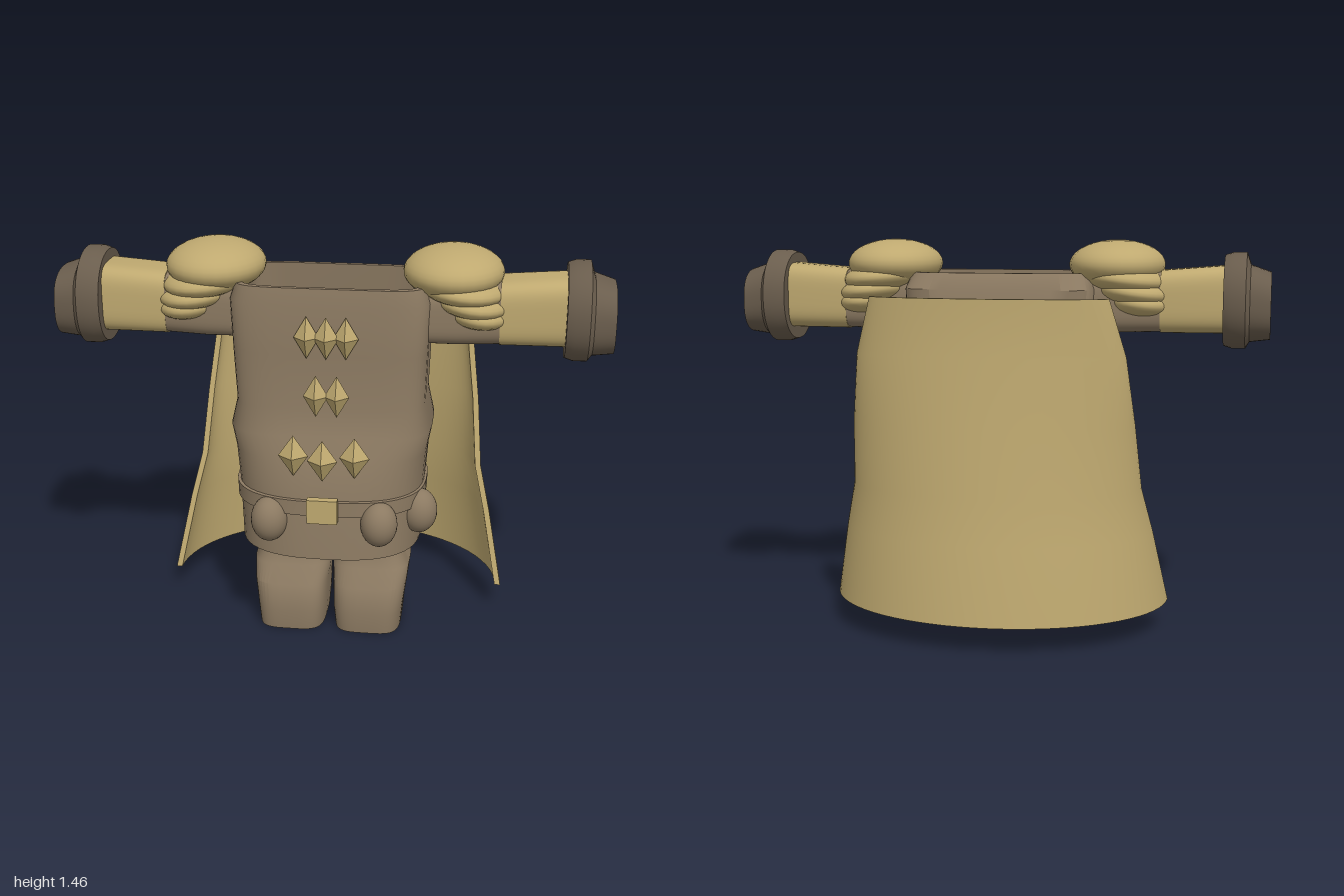
import * as THREE from 'three';
import { toCreasedNormals } from 'three/addons/utils/BufferGeometryUtils.js';

const material = (name, color) => {
  const m = new THREE.MeshStandardMaterial({ color, side: THREE.DoubleSide });
  m.name = name;
  return m;
};

// Surface through closed rings of points
function loft(rings, crease = 0.6) {
  const n = rings[0].length, index = [];
  for (let r = 0; r < rings.length - 1; r++) {
    for (let i = 0; i < n; i++) {
      const a = r * n + i, b = r * n + (i + 1) % n;
      index.push(a, a + n, b, b, a + n, b + n);
    }
  }
  const g = new THREE.BufferGeometry();
  g.setAttribute('position', new THREE.Float32BufferAttribute(rings.flat(2), 3));
  g.setIndex(index);
  return toCreasedNormals(g, crease);
}

// Rounded-square ring: centre (cu, cv), half sizes (hu, hv), power n
function ring([t, cu, cv, hu, hv, n], place, count = 48) {
  const pow = (c) => Math.sign(c) * Math.abs(c) ** (2 / n);
  return Array.from({ length: count }, (_, i) => {
    const a = (i + 0.5) / count * Math.PI * 2;
    return place(t, cu + hu * pow(Math.cos(a)), cv + hv * pow(Math.sin(a)));
  });
}
const upright = (t, u, v) => [u, t, v];

export function createModel() {
  const brown = material('brown cloth', 0x8c7a62);
  const dark = material('dark leather', 0x6a5d4d);
  const gold = material('gold cloth', 0xbfa970);
  const model = new THREE.Group();
  model.name = 'capedOutfit';

  const add = (name, geometry, mat, x = 0, y = 0, z = 0, parent = model) => {
    const mesh = new THREE.Mesh(geometry, mat);
    mesh.name = name;
    mesh.position.set(x, y, z);
    parent.add(mesh);
    return mesh;
  };
  const shell = (name, sections, mat, place = upright, parent = model) =>
    add(name, loft(sections.map((s) => ring(s, place))), mat, 0, 0, 0, parent);
  const ellipsoid = (rx, ry, rz) => new THREE.SphereGeometry(1, 28, 18).scale(rx, ry, rz);

  // Tunic: outer wall up to the neck rim, then the inner wall back down
  // rows are y, half width, back z, front z, squareness
  const tunic = [
    [0.36, 0.335, -0.17, 0.42, 2.6], [0.585, 0.345, -0.17, 0.4, 2.7],
    [0.72, 0.355, -0.16, 0.37, 3.2], [0.8, 0.37, -0.15, 0.335, 4],
    [0.9, 0.345, -0.14, 0.312, 5], [1.1, 0.352, -0.12, 0.31, 6],
    [1.28, 0.36, -0.12, 0.305, 6], [1.34, 0.34, -0.08, 0.295, 6],
    [1.34, 0.32, -0.06, 0.275, 6], [1.1, 0.32, -0.08, 0.28, 6],
    [0.8, 0.33, -0.11, 0.3, 4], [0.36, 0.32, -0.155, 0.405, 2.6],
  ].map(([y, w, b, f, n]) => [y, 0, (b + f) / 2, w, (f - b) / 2, n]);
  shell('tunic', tunic, brown);

  // Belt and buckle
  shell('belt', [
    [0.53, 0, 0.12, 0.335, 0.28, 2.7], [0.53, 0, 0.12, 0.352, 0.298, 2.7],
    [0.585, 0, 0.12, 0.354, 0.296, 2.7], [0.585, 0, 0.12, 0.335, 0.27, 2.7],
  ], brown);
  add('buckle', new THREE.BoxGeometry(0.11, 0.09, 0.03), gold, 0, 0.56, 0.435);

  // Belt pouches
  for (const [x, z] of [[-0.2, 0.39], [0.2, 0.39], [0.335, 0.25]]) {
    add('pouch', ellipsoid(0.067, 0.084, 0.071), brown, x, 0.5, z);
  }

  // Diamond studs: x, y, z, half width, half height
  const studs = [
    [-0.07, 1.17, 0.32], [0, 1.17, 0.325], [0.07, 1.17, 0.32],
    [-0.035, 0.96, 0.34], [0.04, 0.96, 0.34],
    [-0.11, 0.75, 0.39], [0, 0.75, 0.43], [0.11, 0.75, 0.39],
    [-0.11, 0.37, 0.21], [0.11, 0.37, 0.21],
  ];
  for (const [x, y, z] of studs) {
    const w = y > 0.8 ? 0.045 : 0.054;
    add('stud', new THREE.OctahedronGeometry(1).scale(w, 0.077, 0.043), gold, x, y, z);
  }

  // Cape: curved sheet with a thin closed edge
  const capeRing = (y, w, edge, back, thick) => {
    const steps = 36, points = [];
    for (const [side, inset] of [[1, 0], [-1, thick]]) {
      for (let i = 0; i <= steps; i++) {
        const a = side * (i / steps - 0.5) * Math.PI;
        points.push([(w - inset) * Math.sin(a), y,
          edge - (edge - back - inset) * Math.cos(a)]);
      }
    }
    return points;
  };
  const cape = [
    [1.26, 0.44, -0.24, -0.34], [1.05, 0.5, -0.205, -0.345], [0.8, 0.53, -0.15, -0.387],
    [0.55, 0.55, -0.075, -0.402], [0.38, 0.59, -0.03, -0.432], [0.1, 0.645, 0.04, -0.47],
  ];
  const capeRings = cape.map((c) => capeRing(...c, 0.022));
  capeRings.unshift(capeRing(...cape[0], 0));
  capeRings.push(capeRing(...cape[5], 0));
  add('cape', loft(capeRings, 0.9), gold);

  for (const s of [1, -1]) {
    const side = s > 0 ? 'left' : 'right';
    const sideways = (t, u, v) => [s * t, u, v];

    // Hollow leg with a boot-like foot, flaring out inside the tunic
    const leg = [
      [0.14, 0.145, 0.13, 0.11, 0.14, 4], [0, 0.145, 0.14, 0.108, 0.148, 4],
      [0, 0.145, 0.14, 0.125, 0.165, 4], [0.08, 0.145, 0.14, 0.132, 0.172, 4],
      [0.18, 0.15, 0.13, 0.14, 0.165, 4], [0.24, 0.15, 0.105, 0.147, 0.138, 3.5],
      [0.3, 0.14, 0.1, 0.122, 0.127, 3.5], [0.36, 0.135, 0.1, 0.105, 0.12, 4],
      [0.42, 0.13, 0.095, 0.083, 0.1, 5], [0.55, 0.165, 0.1, 0.162, 0.21, 4],
    ];
    shell(side + 'Leg', leg.map(([y, x, ...rest]) => [y, s * x, ...rest]), brown);

    // Upper arm and forearm sleeve, closed inside
    const arm = new THREE.Group();
    arm.name = side + 'Arm';
    model.add(arm);
    shell('upperArm', [
      [0.31, 1.225, 0.1, 0.105, 0.13, 4], [0.45, 1.23, 0.1, 0.112, 0.125, 4],
      [0.615, 1.235, 0.095, 0.112, 0.118, 4],
    ], brown, sideways, arm);
    shell('sleeve', [
      [0.6, 1.235, 0.095, 0.001, 0.001, 4], [0.6, 1.235, 0.095, 0.116, 0.12, 4],
      [0.84, 1.245, 0.095, 0.125, 0.12, 4], [0.9, 1.235, 0.1, 0.112, 0.118, 4],
    ], gold, sideways, arm);

    // Cuff with a rounded-square opening
    shell('cuff', [
      [0.83, 1.24, 0.095, 0.11, 0.11, 4], [0.83, 1.24, 0.095, 0.168, 0.17, 2.2],
      [0.86, 1.24, 0.095, 0.178, 0.18, 2.2], [0.91, 1.24, 0.095, 0.178, 0.18, 2.2],
      [0.925, 1.23, 0.095, 0.142, 0.162, 2.5], [1, 1.222, 0.095, 0.124, 0.152, 2.6],
      [1, 1.225, 0.1, 0.11, 0.125, 3.5], [0.87, 1.23, 0.1, 0.105, 0.115, 4],
    ], dark, sideways, arm);

    // Shoulder pad: a dome over three overlapping layers
    const pads = [
      [0.43, 1.37, 0.18, 0.092, 0.212, 0], [0.465, 1.318, 0.165, 0.06, 0.212, 0.1],
      [0.5, 1.27, 0.145, 0.056, 0.2, 0.12], [0.525, 1.228, 0.122, 0.055, 0.18, 0.1],
    ];
    for (const [x, y, rx, ry, rz, tilt] of pads) {
      add('shoulderPad', ellipsoid(rx, ry, rz), gold, s * x, y, 0.092, arm).rotation.z = -s * tilt;
    }
  }
  return model;
}
